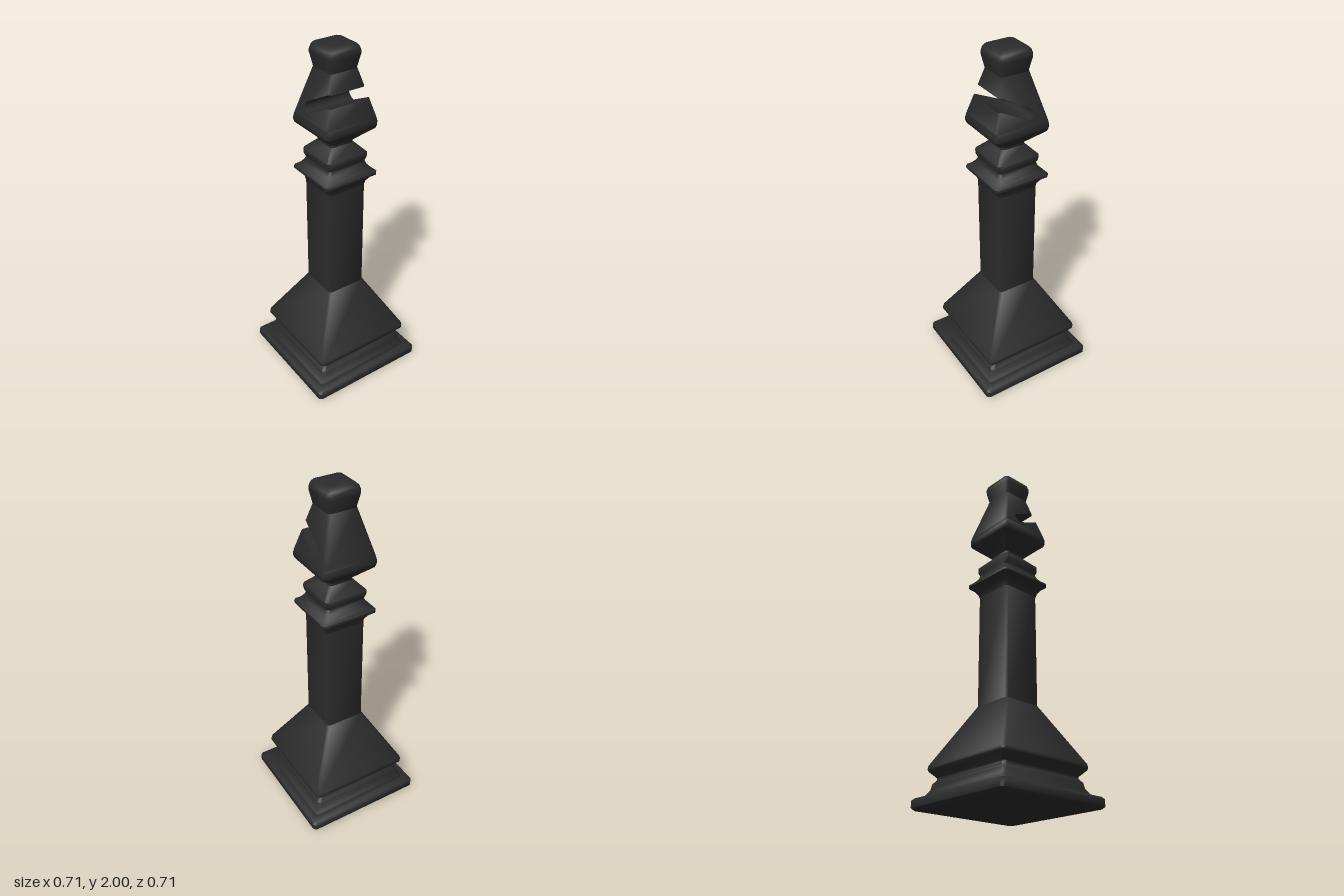
import * as THREE from 'three';
import { toCreasedNormals } from 'three/addons/utils/BufferGeometryUtils.js';

const CHAMFER = 0.015;
const CREASE = 0.9;

// Square loft with chamfered corners; profile is [halfWidth, y] from bottom to top
function squareLoft(profile) {
  const rings = profile.map(([w, y]) => {
    const k = Math.max(w - CHAMFER, 0);
    return [[-k, w], [k, w], [w, k], [w, -k], [k, -w], [-k, -w], [-w, -k], [-w, k]]
      .map(([x, z]) => [x, y, z]);
  });
  const pos = [];
  for (let i = 0; i < rings.length - 1; i++) {
    for (let j = 0; j < 8; j++) {
      const n = (j + 1) % 8;
      const a = rings[i][j], b = rings[i][n], c = rings[i + 1][n], d = rings[i + 1][j];
      if (profile[i][0] > 0) pos.push(...a, ...b, ...c);
      if (profile[i + 1][0] > 0) pos.push(...a, ...c, ...d);
    }
  }
  const geo = new THREE.BufferGeometry();
  geo.setAttribute('position', new THREE.Float32BufferAttribute(pos, 3));
  return toCreasedNormals(geo, CREASE);
}

// Tapered block of the head with a slanted slot cut through from the front
function slottedBlock(w0, y0, w1, y1) {
  const width = (y) => w0 + (w1 - w0) * (y - y0) / (y1 - y0);
  const outline = [
    [-w0, y0], [w0, y0], [width(1.712), 1.712],
    [-0.04, 1.636], [-0.056, 1.642], [-0.068, 1.662], [-0.066, 1.682], [-0.05, 1.698],
    [width(1.775), 1.775], [w1, y1], [-w1, y1],
  ].map(([z, y]) => new THREE.Vector2(z, y));
  const geo = new THREE.ExtrudeGeometry(new THREE.Shape(outline), { depth: 3, steps: 3, bevelEnabled: false });
  const p = geo.attributes.position;
  for (let i = 0; i < p.count; i++) {
    const y = p.getY(i), layer = Math.round(p.getZ(i));
    const w = width(y), k = w - CHAMFER;
    const outer = layer === 0 || layer === 3;
    const x = (layer < 2 ? 1 : -1) * (outer ? w : k);
    const z = outer ? THREE.MathUtils.clamp(p.getX(i), -k, k) : p.getX(i);
    p.setXYZ(i, x, y, z);
  }
  geo.deleteAttribute('uv');
  return toCreasedNormals(geo, CREASE);
}

export function createModel() {
  const group = new THREE.Group();
  const black = new THREE.MeshStandardMaterial({ color: 0x2b2b2b });
  black.name = 'black';

  const add = (name, geometry) => {
    const mesh = new THREE.Mesh(geometry, black);
    mesh.name = name;
    group.add(mesh);
  };

  // Stepped plinth and sloping foot
  add('base', squareLoft([
    [0, 0], [0.343, 0], [0.355, 0.012], [0.355, 0.048], [0.343, 0.06], [0.308, 0.064],
    [0.302, 0.078], [0.287, 0.1], [0.281, 0.13], [0.264, 0.152], [0.264, 0.164],
    [0.298, 0.2], [0.301, 0.21], [0.298, 0.228], [0.12, 0.546],
  ]));

  // Plain square shaft
  add('column', squareLoft([[0.12, 0.546], [0.12, 1.205]]));

  // Flared collar with a smaller ring above it
  add('collar', squareLoft([
    [0.12, 1.205], [0.127, 1.232], [0.143, 1.256], [0.166, 1.274], [0.166, 1.288],
    [0.145, 1.303], [0.128, 1.325], [0.118, 1.35], [0.128, 1.376], [0.128, 1.4], [0.072, 1.458],
  ]));

  // Neck and underside of the head
  add('neck', squareLoft([
    [0.072, 1.458], [0.072, 1.472], [0.158, 1.552], [0.163, 1.566], [0.163, 1.586], [0.158, 1.61],
  ]));

  // Slotted middle of the head
  add('head', slottedBlock(0.158, 1.61, 0.085, 1.87));

  // Rounded knob on top
  add('crown', squareLoft([
    [0.085, 1.87], [0.099, 1.942], [0.099, 1.958], [0.093, 1.98], [0.082, 1.993], [0.065, 2], [0, 2],
  ]));

  return group;
}
